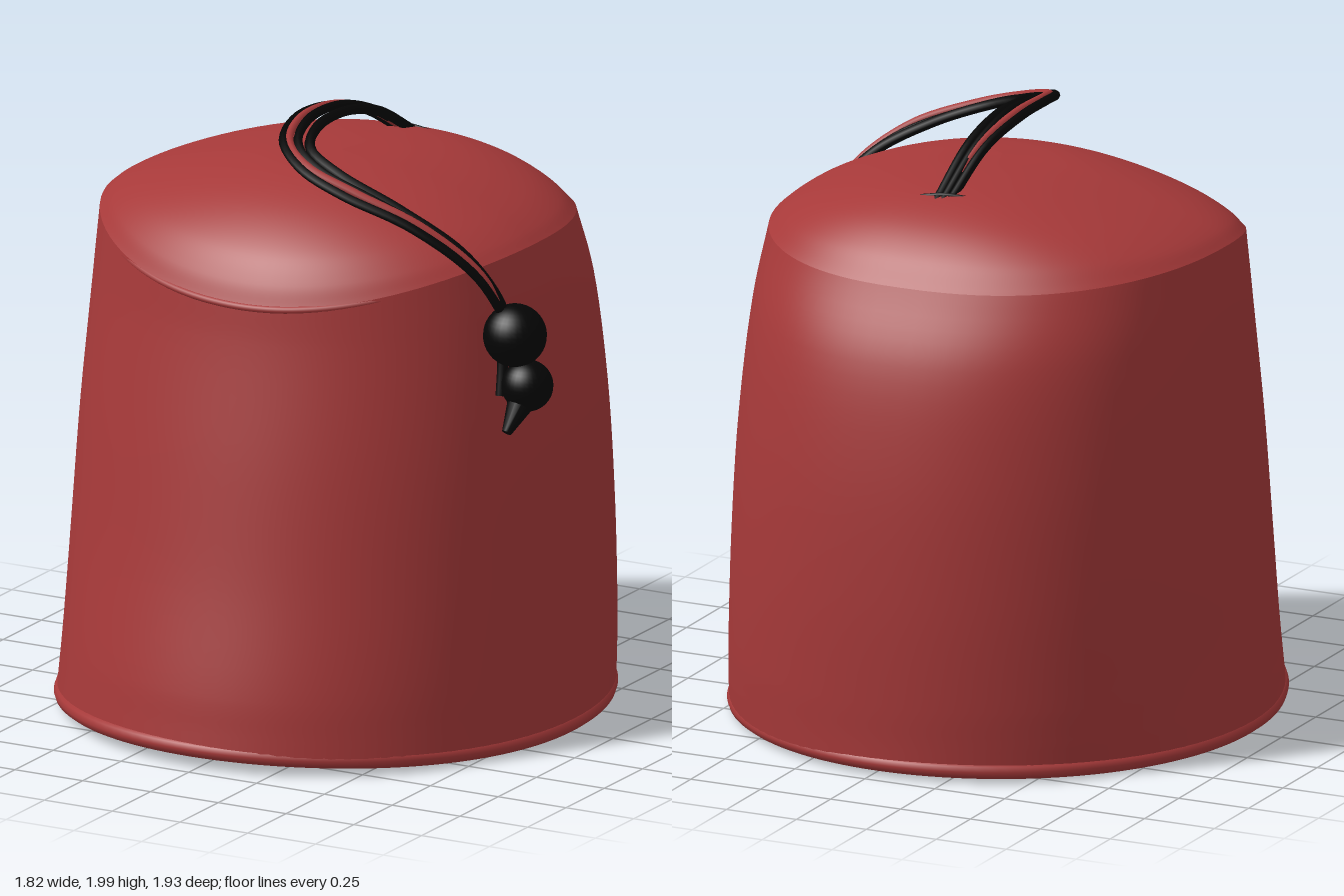
import * as THREE from 'three';

const red = new THREE.MeshStandardMaterial({ color: 0xa63939, side: THREE.DoubleSide });
red.name = 'red felt';
const black = new THREE.MeshStandardMaterial({ color: 0x050505 });
black.name = 'black cord';

// [radius, height] profiles along the four main directions
const wall = {
  front: [[.957, .075], [.947, .14], [.93, .25], [.848, .6], [.768, 1], [.688, 1.37], [.668, 1.49]],
  back: [[.957, .055], [.957, .13], [.96, .25], [.959, .6], [.927, 1.03], [.857, 1.36], [.742, 1.59]],
  left: [[.856, .045], [.85, .13], [.842, .25], [.823, .6], [.795, 1], [.752, 1.4], [.715, 1.63]],
  right: [[.902, .045], [.895, .13], [.886, .25], [.876, .6], [.86, 1], [.832, 1.4], [.81, 1.64]],
};
const crown = {
  front: [[.668, 1.49], [.634, 1.56], [.565, 1.65], [.42, 1.75], [.22, 1.82], [0, 1.84]],
  back: [[.742, 1.59], [.67, 1.68], [.57, 1.755], [.43, 1.81], [.24, 1.835], [0, 1.84]],
  left: [[.715, 1.63], [.675, 1.663], [.59, 1.713], [.42, 1.78], [.22, 1.825], [0, 1.84]],
  right: [[.81, 1.64], [.765, 1.675], [.66, 1.722], [.46, 1.782], [.24, 1.826], [0, 1.84]],
};

// Rings that blend the four profiles; square() makes the back half fuller
function feltSurface(profiles, square, rows = 36, cols = 96) {
  const curves = {};
  for (const k in profiles) curves[k] = curve(profiles[k].map(([r, y]) => [r, y, 0]));
  const pos = [], index = [];
  for (let i = 0; i <= rows; i++) {
    const t = i / rows;
    const p = {};
    for (const k in curves) p[k] = curves[k].getPoint(t);
    for (let j = 0; j < cols; j++) {
      const a = (j / cols) * Math.PI * 2, c = Math.cos(a), s = Math.sin(a);
      const e = s < 0 ? square(t) : 1;
      const px = c > 0 ? p.left : p.right, pz = s > 0 ? p.front : p.back;
      pos.push(
        Math.sign(c) * Math.abs(c) ** e * px.x,
        px.y * c * c + pz.y * s * s,
        Math.sign(s) * Math.abs(s) ** e * pz.x,
      );
      if (i < rows) {
        const n = (j + 1) % cols, u = i * cols, v = u + cols;
        index.push(u + j, v + j, u + n, v + j, v + n, u + n);
      }
    }
  }
  const g = new THREE.BufferGeometry();
  g.setAttribute('position', new THREE.Float32BufferAttribute(pos, 3));
  g.setIndex(index);
  g.computeVertexNormals();
  return g;
}

function curve(points, closed = false) {
  return new THREE.CatmullRomCurve3(points.map((p) => new THREE.Vector3(...p)), closed);
}

export function createModel() {
  const model = new THREE.Group();
  model.name = 'tasselled hat';
  const add = (name, geometry, material, parent = model) => {
    const m = new THREE.Mesh(geometry, material);
    m.name = name;
    parent.add(m);
    return m;
  };

  // Felt body
  add('wall', feltSurface(wall, (t) => 1 - 0.15 * t), red);
  add('crown', feltSurface(crown, () => 0.85), red);

  // Soft ridge where the wall meets the crown, sinking in towards the sides
  const ridge = [];
  for (let i = 0; i <= 16; i++) {
    const a = (i / 16) * Math.PI, c = Math.cos(a), s = Math.sin(a);
    const inset = 0.004 + 0.016 * c * c;
    const side = c > 0 ? wall.left[6] : wall.right[6];
    ridge.push([(side[0] - inset) * c, side[1] * c * c + 1.49 * s * s - inset, (0.668 - inset) * s]);
  }
  add('crown ridge', new THREE.TubeGeometry(curve(ridge), 80, 0.012, 8), red);

  // Rolled edge around the opening, raised a little at the front
  const edge = [];
  for (let i = 0; i < 32; i++) {
    const a = (i / 32) * Math.PI * 2, c = Math.cos(a), s = Math.sin(a);
    edge.push([-0.022 + 0.86 * c, 0.038 + (s > 0 ? 0.035 : 0.015) * s * s, 0.938 * s]);
  }
  add('brim roll', new THREE.TubeGeometry(curve(edge, true), 128, 0.027, 10, true), red);

  const tassel = new THREE.Group();
  tassel.name = 'tassel';
  model.add(tassel);

  // Cord strands arching over the crown and down the left side
  const strands = [
    [black, 0.017, [[.02, 1.79, -.44], [.02, 1.92, -.2], [.012, 1.97, 0], [.012, 1.965, .18], [.06, 1.93, .31],
      [.2, 1.88, .37], [.42, 1.79, .36], [.62, 1.67, .32], [.72, 1.54, .28], [.77, 1.42, .26]]],
    [black, 0.015, [[-.02, 1.79, -.43], [-.04, 1.92, -.2], [-.07, 1.975, 0], [-.075, 1.98, .16], [-.03, 1.95, .33],
      [.1, 1.9, .44], [.27, 1.845, .47], [.5, 1.76, .43], [.69, 1.61, .35], [.78, 1.42, .27]]],
    [black, 0.015, [[0, 1.79, -.44], [-.01, 1.925, -.2], [-.025, 1.983, 0], [-.03, 1.978, .17], [.02, 1.94, .32],
      [.15, 1.89, .4], [.35, 1.82, .4], [.56, 1.72, .365], [.71, 1.58, .31], [.78, 1.42, .26]]],
    [red, 0.014, [[.005, 1.79, -.43], [-.02, 1.925, -.2], [-.05, 1.982, 0], [-.055, 1.983, .17], [-.008, 1.95, .33],
      [.12, 1.905, .425], [.3, 1.85, .44], [.53, 1.755, .4], [.7, 1.605, .33], [.77, 1.42, .27]]],
  ];
  strands.forEach(([material, r, points], i) =>
    add('cord strand ' + (i + 1), new THREE.TubeGeometry(curve(points), 64, r, 8), material, tassel));

  // Stitch that holds the cord to the crown
  add('stitch', new THREE.TubeGeometry(
    curve([[-.08, 1.808, -.4], [0, 1.815, -.42], [.08, 1.803, -.43]]), 12, 0.006, 6), black, tassel);

  // Loose cord tucked behind the beads
  add('tucked cord', new THREE.TubeGeometry(
    curve([[.735, 1.45, .25], [.745, 1.3, .27], [.75, 1.2, .29]]), 20, 0.018, 8), black, tassel);

  // Beads and trailing tip
  add('upper bead', new THREE.SphereGeometry(0.103, 32, 20), black, tassel).position.set(.785, 1.4, .26);
  add('lower bead', new THREE.SphereGeometry(0.084, 32, 20), black, tassel).position.set(.825, 1.235, .25);
  const tip = add('tip', new THREE.CylinderGeometry(0.016, 0.05, 0.13, 12), black, tassel);
  tip.position.set(.813, 1.15, .31);
  tip.quaternion.setFromUnitVectors(
    new THREE.Vector3(0, 1, 0), new THREE.Vector3(-.015, -.09, .07).normalize());

  return model;
}
